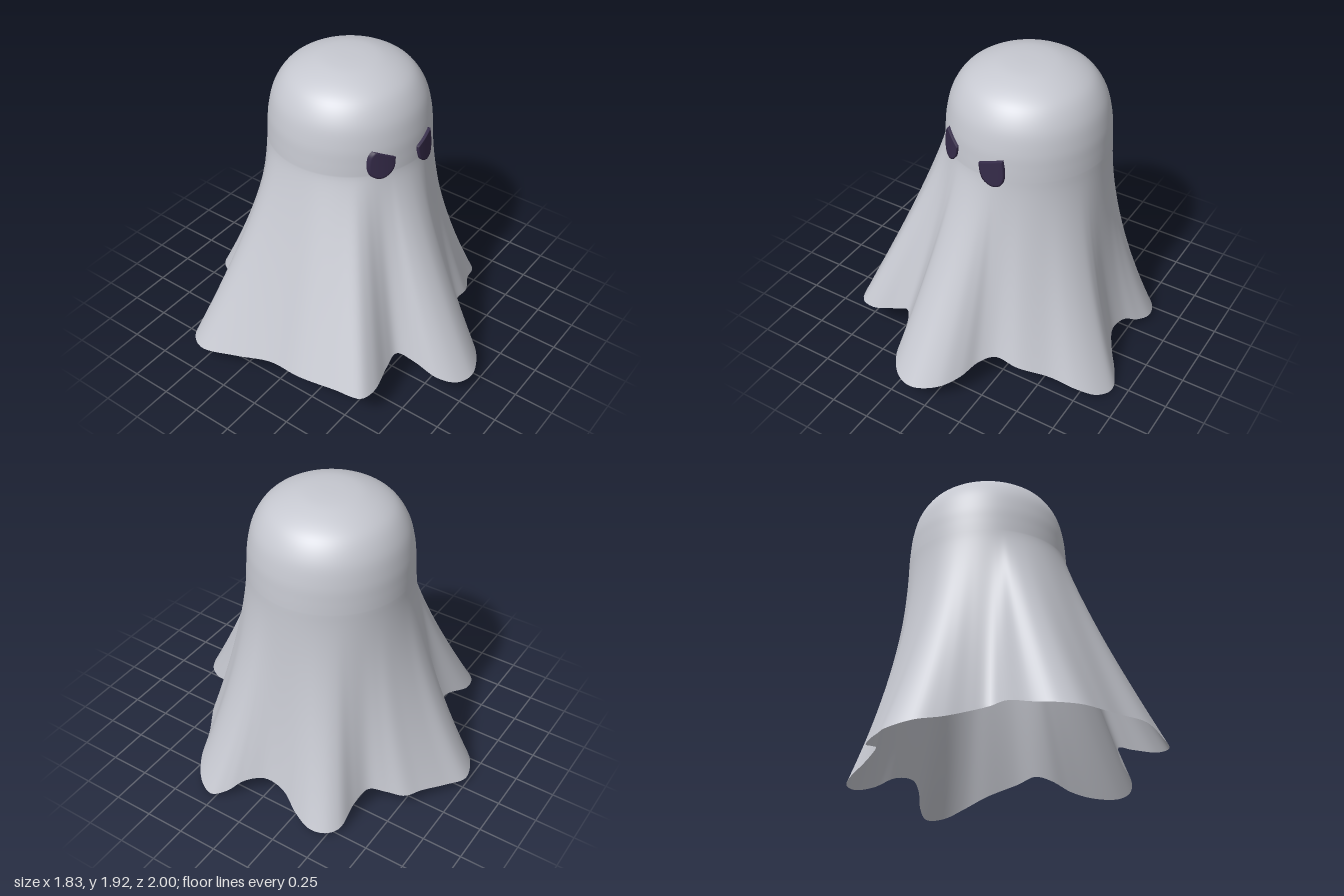
import * as THREE from 'three';
import { mergeVertices } from 'three/addons/utils/BufferGeometryUtils.js';

const CX = 0.085, CZ = -0.07;   // axis of the head
const NECK = 1.4;               // height where the folds begin
const COLS = 240;

// Hem of the sheet: x, y, z around the lobes, from the front towards the left
const HEM = [
  [-0.1, 0.11, 0.995], [0.05, 0.13, 0.93], [0.14, 0.165, 0.82], [0.2, 0.22, 0.7],
  [0.28, 0.25, 0.635], [0.42, 0.22, 0.62], [0.6, 0.155, 0.53], [0.75, 0.09, 0.48],
  [0.86, 0.025, 0.4], [0.91, 0.005, 0.29], [0.87, 0.05, 0.19], [0.8, 0.13, 0.1],
  [0.74, 0.165, -0.02], [0.75, 0.145, -0.16], [0.8, 0.07, -0.28], [0.83, 0.03, -0.4],
  [0.8, 0.025, -0.5], [0.73, 0.04, -0.555], [0.58, 0.12, -0.56], [0.47, 0.165, -0.59],
  [0.41, 0.14, -0.68], [0.35, 0.11, -0.78], [0.25, 0.105, -0.84], [0.1, 0.075, -0.93],
  [-0.04, 0.055, -1], [-0.18, 0.08, -0.95], [-0.27, 0.11, -0.83], [-0.33, 0.16, -0.7],
  [-0.4, 0.2, -0.605], [-0.5, 0.21, -0.595], [-0.72, 0.135, -0.645], [-0.85, 0.11, -0.61],
  [-0.915, 0.115, -0.5], [-0.88, 0.165, -0.25], [-0.83, 0.22, 0], [-0.84, 0.24, 0.22],
  [-0.79, 0.23, 0.45], [-0.74, 0.21, 0.61], [-0.64, 0.215, 0.64], [-0.48, 0.26, 0.615],
  [-0.38, 0.295, 0.615], [-0.33, 0.24, 0.71], [-0.3, 0.165, 0.86], [-0.22, 0.12, 0.96],
];

// Dome of the head: radius, height
const DOME = [
  [0, 1.92], [0.1, 1.917], [0.2, 1.902], [0.31, 1.86], [0.39, 1.8],
  [0.45, 1.7], [0.48, 1.58], [0.49, 1.48], [0.495, NECK],
];

// Sheet: round dome on top, blending into the wavy hem below
function sheetGeometry() {
  const hem = new THREE.CatmullRomCurve3(HEM.map(p => new THREE.Vector3(...p)), true);
  const dome = new THREE.SplineCurve(DOME.map(p => new THREE.Vector2(...p))).getPoints(40);
  const neckR = DOME[DOME.length - 1][0];
  const skirtRows = 44, rows = dome.length + skirtRows;
  const columns = [];
  for (let j = 0; j < COLS; j++) {
    const p = hem.getPoint(j / COLS);
    const dx = p.x - CX, dz = p.z - CZ, r = Math.hypot(dx, dz);
    columns.push({ c: dx / r, s: dz / r, r, y: p.y });
  }
  const pos = [], index = [];
  for (let i = 0; i < rows; i++) {
    for (const col of columns) {
      let r, y;
      if (i < dome.length) {
        r = Math.max(dome[i].x, 0);
        y = dome[i].y;
      } else {
        const t = (i - dome.length + 1) / skirtRows;
        const flare = Math.pow(t, 1.45 + 0.28 * col.c - 0.15 * col.s);
        r = THREE.MathUtils.lerp(neckR, col.r, flare);
        y = THREE.MathUtils.lerp(NECK, col.y, t);
      }
      pos.push(CX + col.c * r, y, CZ + col.s * r);
    }
  }
  for (let i = 0; i < rows - 1; i++) {
    for (let j = 0; j < COLS; j++) {
      const k = (j + 1) % COLS;
      const a = i * COLS + j, b = a + COLS, c = (i + 1) * COLS + k, d = i * COLS + k;
      if (i > 0) index.push(a, c, d);
      index.push(a, b, c);
    }
  }
  let g = new THREE.BufferGeometry();
  g.setAttribute('position', new THREE.Float32BufferAttribute(pos, 3));
  g.setIndex(index);
  g = mergeVertices(g, 1e-5);
  g.computeVertexNormals();
  return g;
}

// Eye: patch wrapped on the front of the head, with a short rim sinking into it.
// inner and outer are the ends of the slanted brow; curve runs under the eye.
function eyeGeometry(brow, under) {
  const curve = new THREE.SplineCurve([brow[1], ...under, brow[0]].map(p => new THREE.Vector2(...p)));
  const outline = curve.getPoints(40);
  for (let i = 1; i < 10; i++) {
    outline.push(new THREE.Vector2(...brow[0]).lerp(new THREE.Vector2(...brow[1]), i / 10));
  }
  const n = outline.length, rings = 8;
  const mid = outline.reduce((m, p) => m.add(p), new THREE.Vector2()).divideScalar(n);
  const pos = [], index = [];
  const put = (x, y, lift) => {
    const r = 0.483 + (1.6 - y) * 0.06 + lift;
    pos.push(x, y, CZ + Math.sqrt(r * r - (x - CX) ** 2));
  };
  for (let i = 0; i <= rings + 1; i++) {
    const f = Math.min(i / rings, 1);
    for (const p of outline) {
      put(mid.x + (p.x - mid.x) * f, mid.y + (p.y - mid.y) * f, i > rings ? -0.006 : 0.016);
    }
  }
  for (let i = 0; i <= rings; i++) {
    for (let j = 0; j < n; j++) {
      const k = (j + 1) % n;
      const a = i * n + j, b = a + n, c = (i + 1) * n + k, d = i * n + k;
      index.push(a, b, c);
      if (i > 0) index.push(a, c, d);
    }
  }
  const g = new THREE.BufferGeometry();
  g.setAttribute('position', new THREE.Float32BufferAttribute(pos, 3));
  g.setIndex(index);
  g.computeVertexNormals();
  return g;
}

export function createModel() {
  const cloth = new THREE.MeshStandardMaterial({ color: 0xc6c8d0, side: THREE.DoubleSide });
  cloth.name = 'pale grey cloth';
  const dark = new THREE.MeshStandardMaterial({ color: 0x342a48, side: THREE.DoubleSide });
  dark.name = 'dark violet';

  const group = new THREE.Group();
  group.name = 'ghost';
  const add = (name, geometry, material) => {
    const mesh = new THREE.Mesh(geometry, material);
    mesh.name = name;
    group.add(mesh);
  };

  add('sheet', sheetGeometry(), cloth);

  // Outlines run counter-clockwise: brow end, around below, other brow end
  add('rightEye', eyeGeometry(
    [[-0.115, 1.505], [-0.222, 1.565]],
    [[-0.243, 1.53], [-0.251, 1.46], [-0.237, 1.405], [-0.2, 1.385], [-0.158, 1.4], [-0.125, 1.44]],
  ), dark);
  add('leftEye', eyeGeometry(
    [[0.198, 1.54], [0.055, 1.492]],
    [[0.062, 1.44], [0.085, 1.39], [0.14, 1.362], [0.19, 1.375], [0.21, 1.42], [0.209, 1.48]],
  ), dark);
  return group;
}
